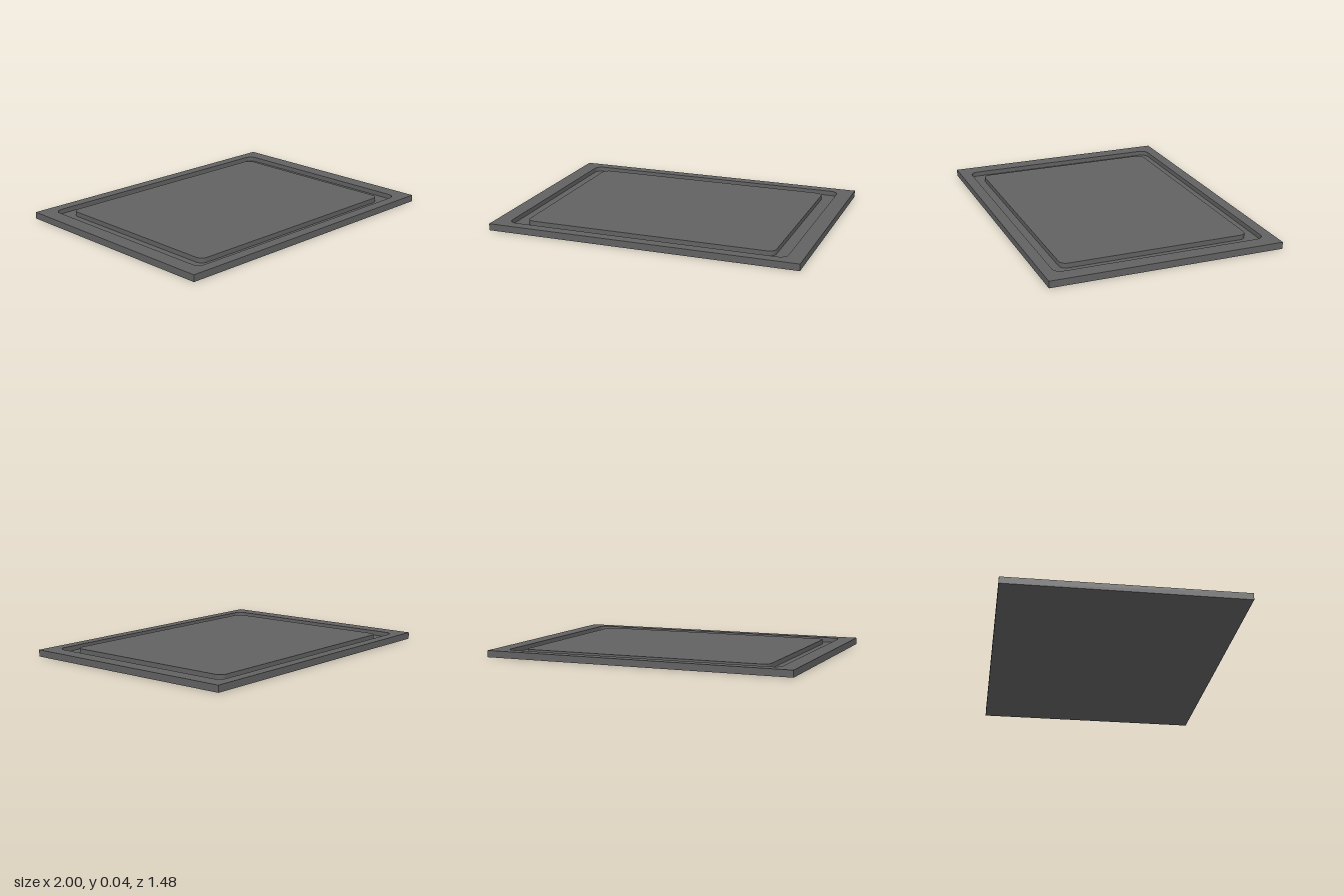
import * as THREE from 'three';
import { mergeGeometries, toCreasedNormals } from 'three/addons/utils/BufferGeometryUtils.js';

const TOP = 0.043, FLOOR = 0.013;

// Counter-clockwise rectangle outline with rounded corners
function outline(hx, hz, r = 0, steps = 0) {
  const points = [];
  [[1, 1], [-1, 1], [-1, -1], [1, -1]].forEach(([sx, sz], corner) => {
    for (let i = 0; i <= steps; i++) {
      const a = (corner + (steps ? i / steps : 0)) * Math.PI / 2;
      points.push(new THREE.Vector2(sx * (hx - r) + r * Math.cos(a), sz * (hz - r) + r * Math.sin(a)));
    }
  });
  return points;
}

// Flat face at height y, optionally with a hole, facing up or down
function cap(loop, y, hole = null, down = false) {
  const shape = new THREE.Shape(loop);
  if (hole) shape.holes.push(new THREE.Path(hole));
  const g = new THREE.ShapeGeometry(shape).rotateX(down ? Math.PI / 2 : -Math.PI / 2).translate(0, y, 0);
  g.deleteAttribute('uv');
  return g.toNonIndexed();
}

// Upright wall along an outline, facing outward or inward
function wall(loop, y0, y1, inward = false) {
  const pts = inward ? [...loop].reverse() : loop;
  const pos = [];
  pts.forEach((a, i) => {
    const b = pts[(i + 1) % pts.length];
    pos.push(a.x, y0, -a.y, b.x, y0, -b.y, b.x, y1, -b.y);
    pos.push(a.x, y0, -a.y, b.x, y1, -b.y, a.x, y1, -a.y);
  });
  const g = new THREE.BufferGeometry();
  g.setAttribute('position', new THREE.Float32BufferAttribute(pos, 3));
  g.computeVertexNormals();
  return g;
}

export function createModel() {
  const group = new THREE.Group();
  group.name = 'groovedBoard';
  const grey = new THREE.MeshStandardMaterial({ color: 0x626262 });
  grey.name = 'dark grey';

  const add = (name, parts) => {
    const mesh = new THREE.Mesh(toCreasedNormals(mergeGeometries(parts), 0.6), grey);
    mesh.name = name;
    group.add(mesh);
  };

  const edge = outline(1, 0.742);
  const grooveOuter = outline(0.9, 0.672, 0.05, 6);
  const grooveInner = outline(0.81, 0.602, 0.045, 6);

  // Slab with the raised border
  add('border', [cap(edge, 0, null, true), wall(edge, 0, TOP), cap(edge, TOP, grooveOuter)]);
  // Channel running round the board
  add('groove', [
    wall(grooveOuter, FLOOR, TOP, true),
    cap(grooveOuter, FLOOR, grooveInner),
    wall(grooveInner, FLOOR, TOP),
  ]);
  // Middle surface
  add('centrePanel', [cap(grooveInner, TOP)]);

  return group;
}
